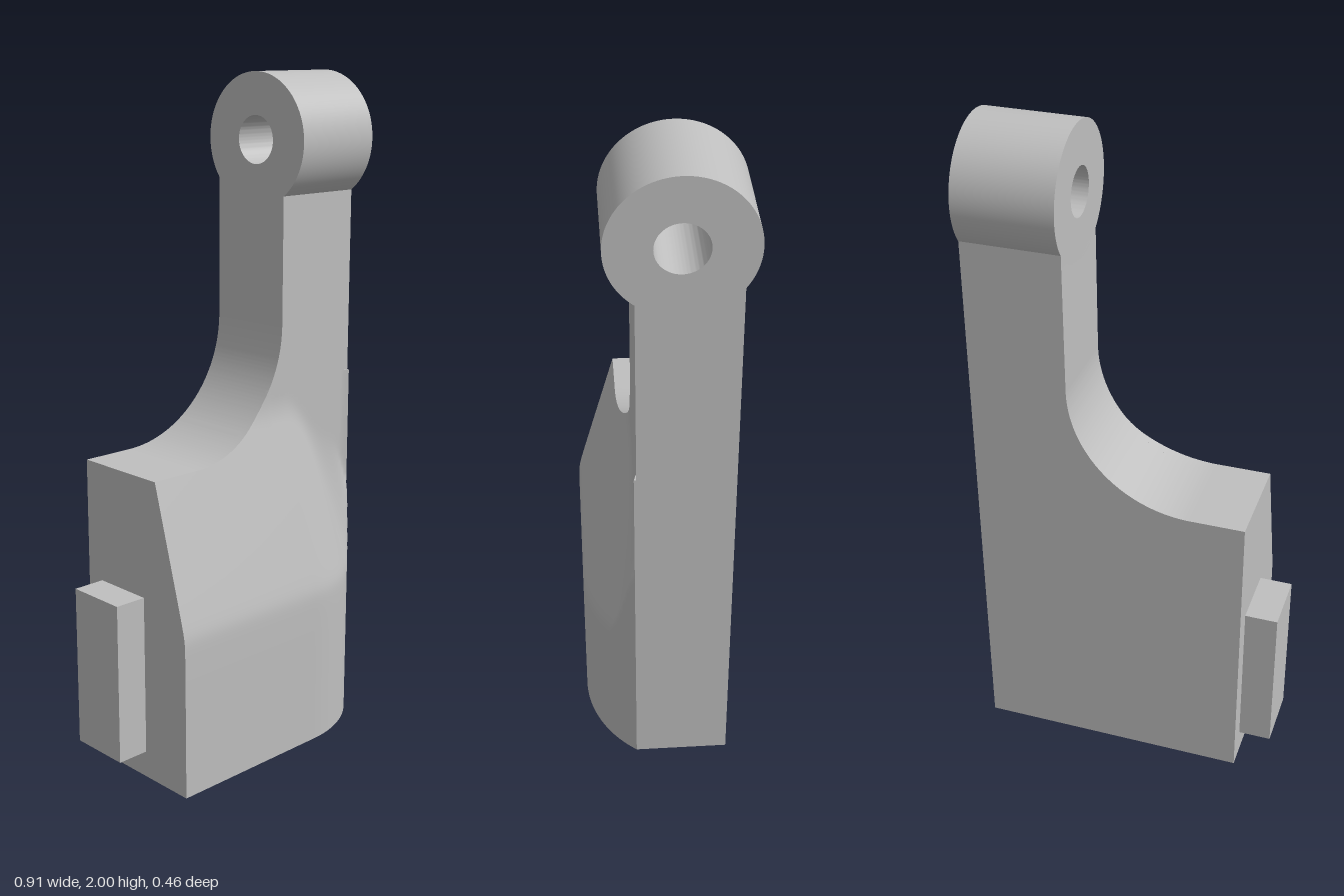
import * as THREE from 'three';
import { toCreasedNormals } from 'three/addons/utils/BufferGeometryUtils.js';

const LEFT = -0.36, RIGHT = 0.455, NECK = 0.165;   // x limits of body and neck
const BACK = -0.192, FACE = 0.078, FRONT = 0.23;   // z limits of plate and bulge
const SHOULDER = 0.915, CUT_X = -0.2, CUT_R = 0.365; // concave cut beside the neck
const SOCKET = 0.3;                                // depth of the bottom holes

function circle(x, y, r, Type = THREE.Path) {
  const p = new Type();
  p.absarc(x, y, r, 0, Math.PI * 2, false);
  return p;
}

function extrude(shape, depth) {
  const g = new THREE.ExtrudeGeometry(shape, { depth, bevelEnabled: false, curveSegments: 48 });
  return toCreasedNormals(g, 0.5);
}

// Upper limit of the bulge, following the concave cut
function bulgeTop(x) {
  if (x <= CUT_X) return SHOULDER;
  const s = CUT_R * CUT_R - (x - CUT_X) ** 2;
  return s > 0 ? Math.min(1.1, SHOULDER + CUT_R - Math.sqrt(s)) : 1.1;
}

// Front of the bulge: upright below, leaning back above, rounded on one side
function bulgeDepth(x, y) {
  const r = 0.352, cx = 0.17;
  const dx = Math.max(0, x - cx);
  const round = (rad) => FRONT - r + Math.sqrt(Math.max(0, rad * rad - dx * dx));
  const side = round(r);
  const t = y - 0.48;
  const inset = 0.278 * (t + Math.sqrt(t * t + 0.0006)) / 2;
  const lean = round(r - inset);
  // blend softly into the plate, more widely towards the rounded side
  const k = 0.01 + 0.29 * (dx / (RIGHT - cx)) ** 4;
  const gap = Math.max(0, k - Math.abs(lean - FACE));
  return Math.min(side, Math.max(lean, FACE) + gap * gap / (4 * k));
}

export function createModel() {
  const group = new THREE.Group();
  const grey = new THREE.MeshStandardMaterial({ color: 0xbfbfbf });
  grey.name = 'light grey';
  const add = (name, geometry) => {
    const mesh = new THREE.Mesh(geometry, grey);
    mesh.name = name;
    group.add(mesh);
    return mesh;
  };

  // Plate with the neck rising on one side
  const plate = new THREE.Shape();
  plate.moveTo(LEFT, SOCKET);
  plate.lineTo(RIGHT, SOCKET);
  plate.lineTo(RIGHT, 1.7);
  plate.lineTo(NECK, 1.7);
  plate.lineTo(NECK, SHOULDER + CUT_R);
  plate.absarc(CUT_X, SHOULDER + CUT_R, CUT_R, 0, -Math.PI / 2, true);
  plate.lineTo(LEFT, SHOULDER);
  plate.closePath();
  add('plate', extrude(plate, FACE - BACK)).position.z = BACK;

  // Foot of the plate with two round holes from below
  const foot = new THREE.Shape();
  foot.moveTo(LEFT, -FACE);
  foot.lineTo(RIGHT, -FACE);
  foot.lineTo(RIGHT, -BACK);
  foot.lineTo(LEFT, -BACK);
  foot.closePath();
  for (const x of [-0.01, 0.3]) foot.holes.push(circle(x, 0.045, 0.026));
  add('foot', extrude(foot, SOCKET).rotateX(-Math.PI / 2));

  // Bulge on the front, a box grid shaped by the depth rule
  const bulge = new THREE.BoxGeometry(1, 1, 1, 90, 90, 1);
  const p = bulge.attributes.position;
  for (let i = 0; i < p.count; i++) {
    const x = LEFT + (p.getX(i) + 0.5) * (RIGHT - LEFT);
    const y = (p.getY(i) + 0.5) * bulgeTop(x);
    p.setXYZ(i, x, y, p.getZ(i) > 0 ? bulgeDepth(x, y) : FACE - 0.01);
  }
  bulge.computeVertexNormals();
  add('bulge', bulge);

  // Barrel with a through hole on top of the neck
  const ring = circle(0.0375, 1.807, 0.193, THREE.Shape);
  ring.holes.push(circle(0.0375, 1.807, 0.07));
  add('barrel', extrude(ring, RIGHT - NECK).rotateY(Math.PI / 2)).position.x = NECK;

  // Rectangular tab on the side
  const tab = add('sideTab', new THREE.BoxGeometry(0.11, 0.48, 0.188));
  tab.position.set(-0.403, 0.32, -0.039);

  return group;
}
